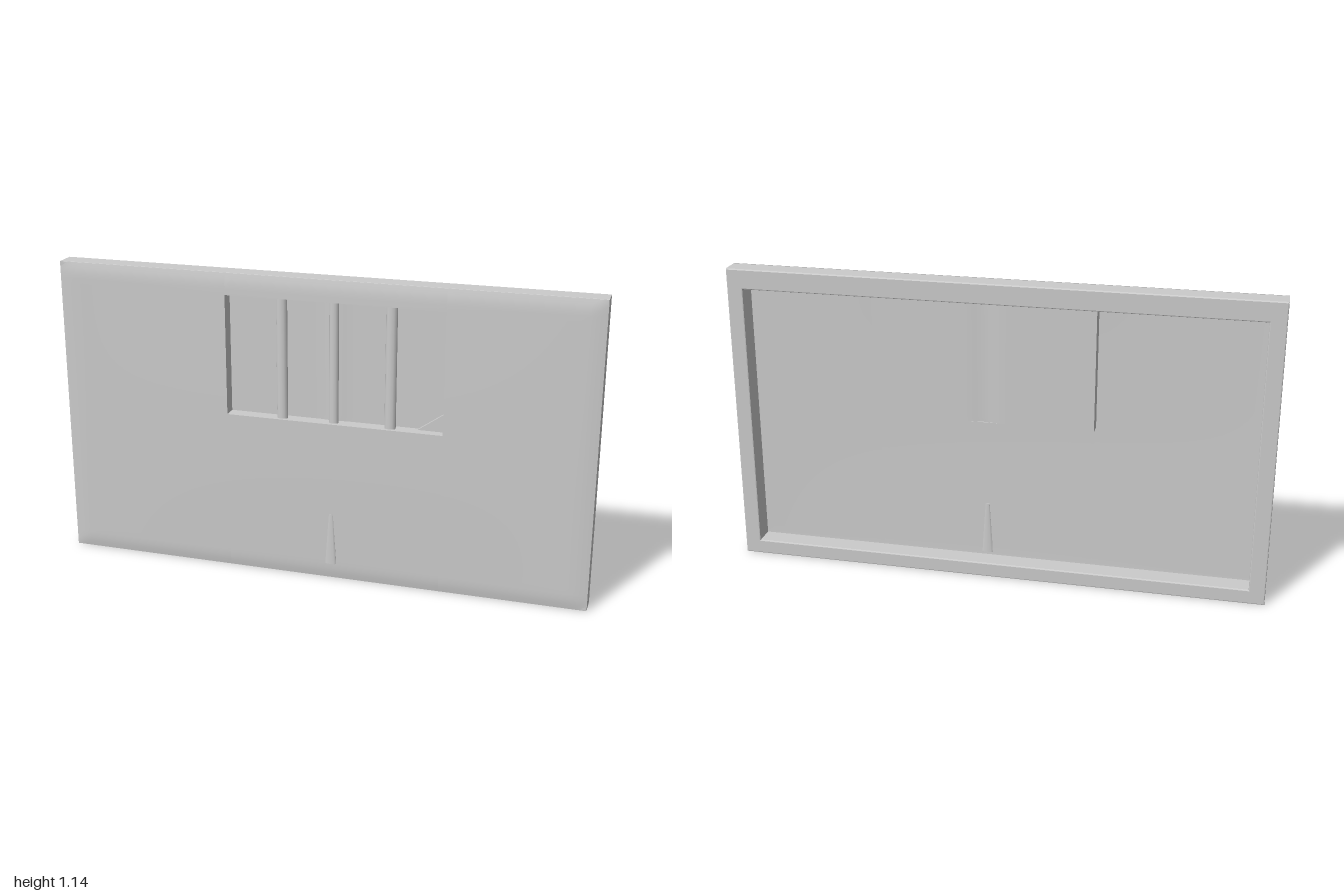
import * as THREE from 'three';
import { mergeVertices, mergeGeometries } from 'three/addons/utils/BufferGeometryUtils.js';

const W = 1, H = 1.14;                                    // half width, full height
const win = { l: -0.35, r: 0.46, b: 0.61, t: 1.06 };      // window opening
const paneZ = -0.013;

const grey = new THREE.MeshStandardMaterial({ color: 0xcccccc });
const greyDouble = new THREE.MeshStandardMaterial({ color: 0xcccccc, side: THREE.DoubleSide });

// Front surface: curls back at the rim and bulges a little in the middle
function frontZ(x, y) {
  const edge = Math.min(W - Math.abs(x), y, H - y);
  const rim = Math.sin(Math.min(1, edge / 0.05) * Math.PI / 2);
  const bulge = (1 - x * x) * Math.sin(Math.PI * y / H);
  return 0.031 + 0.006 * rim + 0.006 * bulge;
}

function patch(x0, x1, y0, y1, zRule) {
  const nx = Math.ceil((x1 - x0) / 0.03), ny = Math.ceil((y1 - y0) / 0.02);
  const g = new THREE.PlaneGeometry(x1 - x0, y1 - y0, nx, ny);
  g.translate((x0 + x1) / 2, (y0 + y1) / 2, 0);
  const p = g.attributes.position;
  for (let i = 0; i < p.count; i++) p.setZ(i, zRule(p.getX(i), p.getY(i)));
  g.computeVertexNormals();
  return g;
}

function rect(path, l, r, b, t) {
  path.moveTo(l, b);
  path.lineTo(r, b);
  path.lineTo(r, t);
  path.lineTo(l, t);
  path.closePath();
  return path;
}

function ring(outer, inner, z0, z1, bevel = 0) {
  const s = rect(new THREE.Shape(), outer.l + bevel, outer.r - bevel, outer.b + bevel, outer.t - bevel);
  s.holes.push(rect(new THREE.Path(), inner.l - bevel, inner.r + bevel, inner.b - bevel, inner.t + bevel));
  const g = new THREE.ExtrudeGeometry(s, {
    depth: z1 - z0 - 2 * bevel, bevelEnabled: bevel > 0,
    bevelSize: bevel, bevelThickness: bevel, bevelSegments: 2,
  });
  return g.translate(0, 0, z0 + bevel);
}

export function createModel() {
  const root = new THREE.Group();
  root.name = 'barredWindowPanel';
  const add = (name, geometry, material = grey) => {
    const m = new THREE.Mesh(geometry, material);
    m.name = name;
    root.add(m);
    return m;
  };

  // Deep border open at the back
  add('frame', ring({ l: -W, r: W, b: 0, t: H },
    { l: -0.94, r: 0.94, b: 0.055, t: 1.065 }, -0.05, 0.031, 0.004));

  // Thin front sheet in four patches around the opening
  const sheet = mergeGeometries([
    patch(-W, win.l, 0, H, frontZ),
    patch(win.r, W, 0, H, frontZ),
    patch(win.l, win.r, 0, win.b, frontZ),
    patch(win.l, win.r, win.t, H, frontZ),
  ]);
  add('frontSheet', mergeVertices(sheet, 1e-4), greyDouble);

  // Pocket walls behind the opening
  const t = 0.004;
  add('windowWalls', ring({ l: win.l - t, r: win.r + t, b: win.b - t, t: win.t + t }, win, paneZ, 0.038));

  // Pane at the bottom of the pocket, with a shallow central crease
  add('pane', patch(win.l, win.r, win.b, win.t,
    (x) => paneZ + 0.006 * Math.max(0, 1 - Math.abs(x - 0.05) / 0.05)), greyDouble);

  // Three upright bars
  const barHeight = win.t - win.b;
  for (const [x, w] of [[-0.143, 0.042], [0.052, 0.036], [0.262, 0.042]]) {
    const bar = add('bar', new THREE.CylinderGeometry(w / 2, w / 2, barHeight, 12));
    bar.scale.z = 0.7;
    bar.position.set(x, (win.t + win.b) / 2, 0.013);
  }

  // Small fillet in the lower corner of the pocket
  const corner = new THREE.Shape();
  corner.moveTo(win.r, win.b);
  corner.lineTo(win.r, win.b + 0.07);
  corner.lineTo(win.r - 0.1, win.b);
  const wedge = add('cornerFillet', new THREE.ExtrudeGeometry(corner, { depth: 0.015, bevelEnabled: false }));
  wedge.position.z = paneZ;

  // Low upright ridge under the window
  const ridge = add('lowerRidge', new THREE.CylinderGeometry(0.008, 0.022, 0.2, 10));
  ridge.scale.z = 0.25;
  ridge.position.set(0.05, 0.16, 0.04);

  return root;
}
